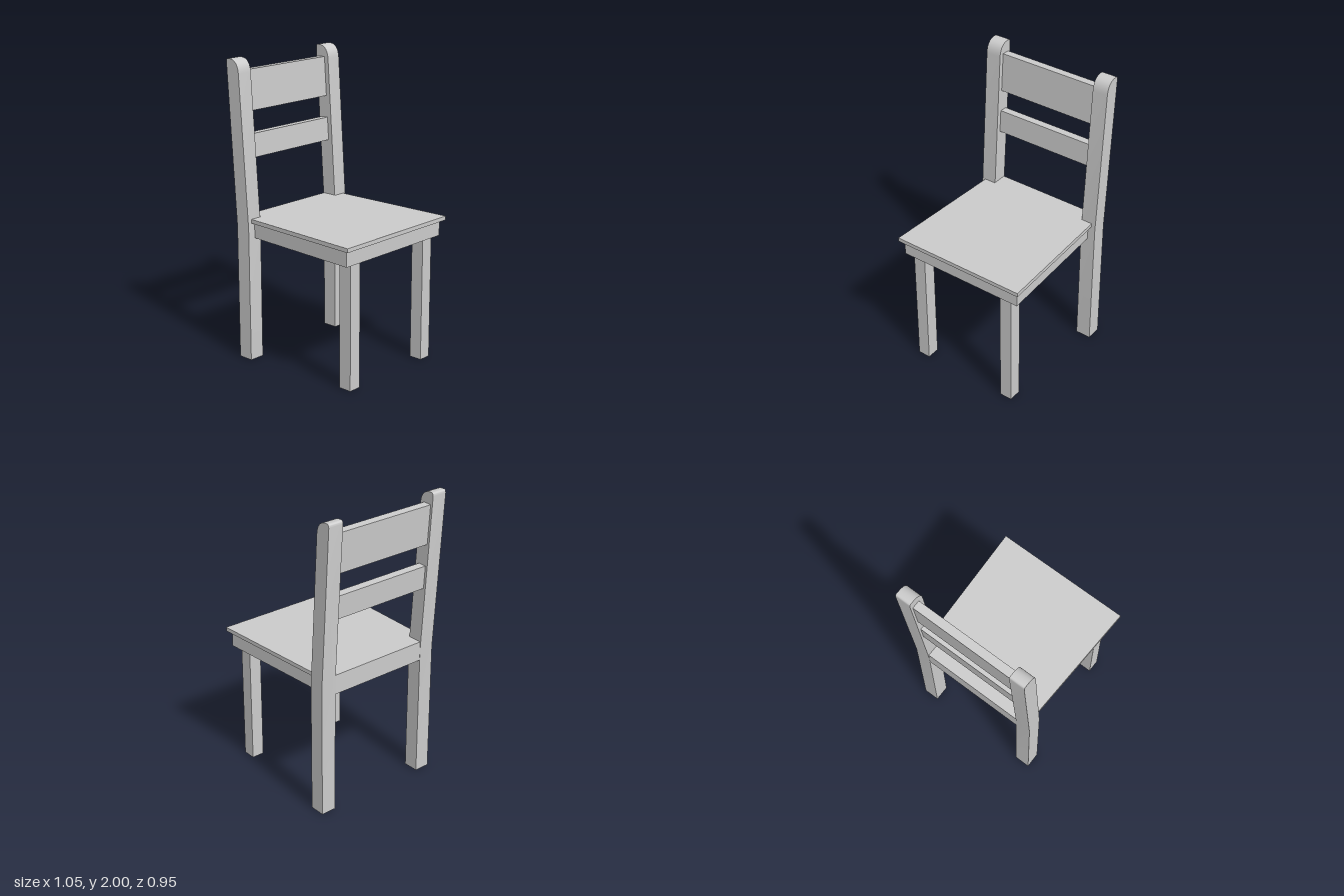
import * as THREE from 'three';
import { toCreasedNormals } from 'three/addons/utils/BufferGeometryUtils.js';

const material = new THREE.MeshStandardMaterial({ color: 0xcccccc });
const POST_IN = 0.357, POST_OUT = 0.4635; // z range of a back post
const LEAN = 0.065;                       // backward shift per unit of height

function part(name, geometry) {
  const mesh = new THREE.Mesh(geometry, material);
  mesh.name = name;
  return mesh;
}

// Extrudes a side profile (x, y) between two z values.
function sideExtrude(shape, z0, z1) {
  const g = new THREE.ExtrudeGeometry(shape, { depth: z1 - z0, bevelEnabled: false, curveSegments: 10 });
  g.translate(0, 0, z0);
  return toCreasedNormals(g, 0.5);
}

// Tapered slab, notched around the back posts.
function slab(yBottom, yTop, xFront, zFront, zBack) {
  const xNotch = -0.35, xBack = -0.455;
  const half = [[xFront, zFront], [xNotch, zBack], [xNotch, POST_IN], [xBack, POST_IN]];
  const outline = [...half, ...half.map(([x, z]) => [x, -z]).reverse()];
  const shape = new THREE.Shape(outline.map(([x, z]) => new THREE.Vector2(x, z)));
  const g = new THREE.ExtrudeGeometry(shape, { depth: yTop - yBottom, bevelEnabled: false });
  g.rotateX(Math.PI / 2);
  g.translate(0, yTop, 0);
  return g;
}

// Straight leg below, leaning post above, with a rounded top.
function postShape() {
  const s = new THREE.Shape();
  s.moveTo(-0.456, 0);
  s.lineTo(-0.35, 0);
  s.lineTo(-0.35, 0.91);
  s.lineTo(-0.415, 1.91);
  s.bezierCurveTo(-0.419, 1.965, -0.445, 2.0, -0.495, 2.0);
  s.lineTo(-0.508, 2.0);
  s.quadraticCurveTo(-0.524, 2.0, -0.5235, 1.975);
  s.lineTo(-0.456, 0.91);
  s.closePath();
  return s;
}

// Leaning back rail profile.
function railShape(y0, y1) {
  const front = y => -0.448 + (1.92 - y) * LEAN;
  const t = 0.056;
  return new THREE.Shape([
    new THREE.Vector2(front(y0) - t, y0 - 0.003),
    new THREE.Vector2(front(y0), y0),
    new THREE.Vector2(front(y1), y1),
    new THREE.Vector2(front(y1) - t, y1 - 0.003),
  ]);
}

export function createModel() {
  const chair = new THREE.Group();
  chair.name = 'chair';

  // Seat board and the frame under it
  chair.add(part('seat', slab(0.943, 0.97, 0.522, 0.4745, 0.437)));
  chair.add(part('seatFrame', slab(0.838, 0.943, 0.492, 0.449, 0.41)));

  // Back posts and front legs, mirrored across z
  for (const [side, sign] of [['Near', 1], ['Far', -1]]) {
    const [z0, z1] = sign > 0 ? [POST_IN, POST_OUT] : [-POST_OUT, -POST_IN];
    chair.add(part('backPost' + side, sideExtrude(postShape(), z0, z1)));

    const leg = part('frontLeg' + side, new THREE.BoxGeometry(0.09, 0.838, 0.087));
    leg.position.set(0.427, 0.419, sign * 0.348);
    chair.add(leg);
  }

  // Back rails between the posts
  chair.add(part('topRail', sideExtrude(railShape(1.658, 1.923), -POST_IN, POST_IN)));
  chair.add(part('middleRail', sideExtrude(railShape(1.354, 1.51), -POST_IN, POST_IN)));

  return chair;
}
